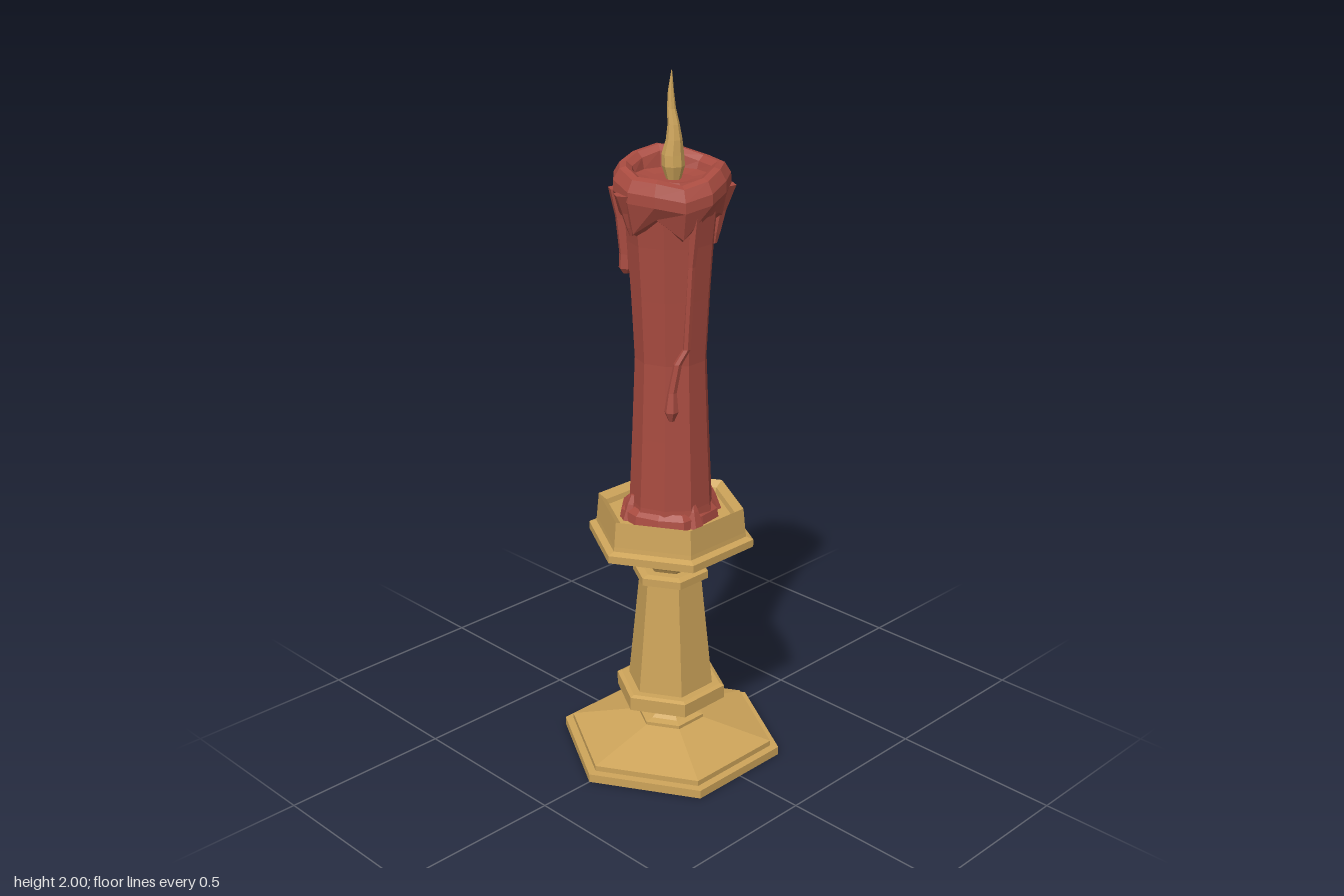
import * as THREE from 'three';

const brass = new THREE.MeshStandardMaterial({ color: 0xcda45a, flatShading: true });
brass.name = 'brass';
const wax = new THREE.MeshStandardMaterial({ color: 0xa84b40, flatShading: true });
wax.name = 'red wax';

// Ring of n points; rad and lift may vary with the index
function ring(n, r, y, cx = 0, cz = 0, rad = () => 1, lift = () => 0) {
  return Array.from({ length: n }, (_, i) => {
    const a = (i / n) * Math.PI * 2;
    const x = cx + Math.sin(a) * r * rad(i), z = cz + Math.cos(a) * r * rad(i);
    return [x, y + lift(i, x, z), z];
  });
}

// Skin stacked rings (bottom to top) and close both ends
function loft(name, rings, material, capped = true) {
  const pos = [], n = rings[0].length;
  const tri = (a, b, c) => pos.push(...a, ...b, ...c);
  for (let k = 0; k + 1 < rings.length; k++) {
    for (let i = 0; i < n; i++) {
      const j = (i + 1) % n, lo = rings[k], hi = rings[k + 1];
      tri(lo[i], lo[j], hi[j]);
      tri(lo[i], hi[j], hi[i]);
    }
  }
  if (capped) {
    const mid = (r) => [0, 1, 2].map((c) => r.reduce((s, p) => s + p[c], 0) / n);
    const first = rings[0], last = rings[rings.length - 1];
    const m0 = mid(first), m1 = mid(last);
    for (let i = 0; i < n; i++) {
      const j = (i + 1) % n;
      tri(m0, first[j], first[i]);
      tri(m1, last[i], last[j]);
    }
  }
  const g = new THREE.BufferGeometry();
  g.setAttribute('position', new THREE.Float32BufferAttribute(pos, 3));
  g.computeVertexNormals();
  const mesh = new THREE.Mesh(g, material);
  mesh.name = name;
  return mesh;
}

// Hexagonal turned part from [radius, y] pairs
const hex = (name, profile) => loft(name, profile.map(([r, y]) => ring(6, r, y)), brass);

// Wax run along [x, y, z, radius] points, top to bottom
const drip = (name, path) =>
  loft(name, path.slice().reverse().map(([x, y, z, r]) => ring(6, r, y, x, z)), wax);

export function createModel() {
  const model = new THREE.Group();
  model.name = 'candlestick';

  // Holder
  const holder = new THREE.Group();
  holder.name = 'holder';
  holder.add(
    hex('foot', [[0.33, 0], [0.33, 0.025], [0.305, 0.026], [0.305, 0.042], [0.1, 0.092],
      [0.1, 0.102], [0.075, 0.106], [0.04, 0.13], [0.024, 0.165]]),
    hex('lowerCollar', [[0.024, 0.152], [0.1, 0.158], [0.163, 0.168], [0.163, 0.208], [0.15, 0.213], [0.127, 0.213]]),
    hex('stem', [[0.127, 0.21], [0.092, 0.552]]),
    hex('upperCollar', [[0.092, 0.55], [0.112, 0.553], [0.112, 0.575], [0.09, 0.58]]),
    hex('neck', [[0.06, 0.575], [0.07, 0.59], [0.14, 0.67]]),
    hex('cup', [[0.14, 0.665], [0.243, 0.668], [0.243, 0.69], [0.222, 0.697], [0.22, 0.71],
      [0.213, 0.782], [0.19, 0.765], [0.185, 0.75]])
  );
  model.add(holder);

  // Candle body, waisted and slightly uneven
  const candle = new THREE.Group();
  candle.name = 'candle';
  const uneven = (i) => [1, 0.97, 1.02, 1, 0.96, 1.03, 1, 0.98, 1.01, 0.98][i];
  const body = [[0.128, 0.745], [0.121, 0.8], [0.112, 1.0], [0.103, 1.22], [0.112, 1.4], [0.122, 1.55], [0.133, 1.66]];
  candle.add(loft('body', body.map(([r, y]) => ring(10, r, y, 0.003, 0, uneven)), wax));

  // Melted rim with scalloped lower edge and hollow pool
  const bulge = (i) => [1, 1.01, 0.98, 0.99, 0.97, 1.07, 1.03, 0.97, 1.02, 1.02, 1.0, 0.99][i];
  const sag = [-0.03, 0.02, -0.02, 0.02, 0, -0.03, 0.02, 0, 0.02, -0.02, -0.04, 0.02];
  const tilt = (i, x, z) => -0.13 * x - 0.1 * z + [0, 0.006, -0.01, 0, 0.008, 0, -0.006, 0.004, 0.01, 0, -0.004, 0.006][i];
  const hang = (i, x, z) => tilt(i, x, z) + sag[i];
  const rim = [
    [0.115, 1.615, hang], [0.138, 1.63, hang], [0.158, 1.688, tilt], [0.157, 1.717, tilt],
    [0.14, 1.746, tilt], [0.122, 1.75, tilt], [0.105, 1.738, tilt], [0.098, 1.722, () => 0], [0.06, 1.715, () => 0]
  ];
  candle.add(loft('meltedRim', rim.map(([r, y, f]) => ring(12, r, y, 0, 0, bulge, f)), wax));

  // Wax runs
  candle.add(
    drip('longDrip', [[0.122, 1.64, 0.03, 0.02], [0.112, 1.5, 0.034, 0.011], [0.102, 1.27, 0.04, 0.011],
      [0.09, 1.23, 0.062, 0.012], [0.081, 1.15, 0.074, 0.013], [0.081, 1.095, 0.077, 0.02], [0.081, 1.068, 0.077, 0.008]]),
    drip('frontDrip', [[-0.025, 1.69, 0.138, 0.035], [-0.027, 1.64, 0.13, 0.02], [-0.025, 1.6, 0.123, 0.013], [-0.025, 1.575, 0.12, 0.005]]),
    drip('leftDrip', [[-0.123, 1.68, 0.07, 0.032], [-0.114, 1.6, 0.066, 0.022], [-0.108, 1.5, 0.062, 0.019],
      [-0.108, 1.46, 0.062, 0.021], [-0.108, 1.445, 0.062, 0.01]]),
    drip('backDrip', [[0.075, 1.69, -0.125, 0.036], [0.068, 1.62, -0.113, 0.022], [0.064, 1.56, -0.106, 0.015], [0.064, 1.53, -0.104, 0.007]])
  );

  // Wax puddled around the base
  const spread = (i) => [1.04, 1, 1.1, 0.98, 1.05, 1, 1.08, 1, 1.05, 0.98, 1.06, 1.1][i];
  candle.add(loft('basePuddle', [[0.135, 0.745], [0.13, 0.775], [0.115, 0.79]].map(([r, y]) => ring(12, r, y, 0, 0, spread)), wax));
  for (const a of [-0.4, 1.35, 2.6, 4.2]) {
    const x = Math.sin(a), z = Math.cos(a);
    candle.add(drip('baseBlob', [[x * 0.112, 0.82, z * 0.112, 0.008], [x * 0.116, 0.795, z * 0.116, 0.017], [x * 0.12, 0.75, z * 0.12, 0.03]]));
  }
  model.add(candle);

  // Flame: [x, z, radius, y]
  const flame = [[0.012, 0, 0.02, 1.715], [0.011, 0, 0.031, 1.75], [0.009, 0, 0.03, 1.78], [0.014, 0, 0.022, 1.82],
    [0.012, 0, 0.016, 1.86], [0.004, 0, 0.012, 1.9], [0.002, 0, 0.008, 1.945], [0.005, 0, 0.001, 2]];
  model.add(loft('flame', flame.map(([x, z, r, y]) => ring(8, r, y, x, z)), brass));
  return model;
}
